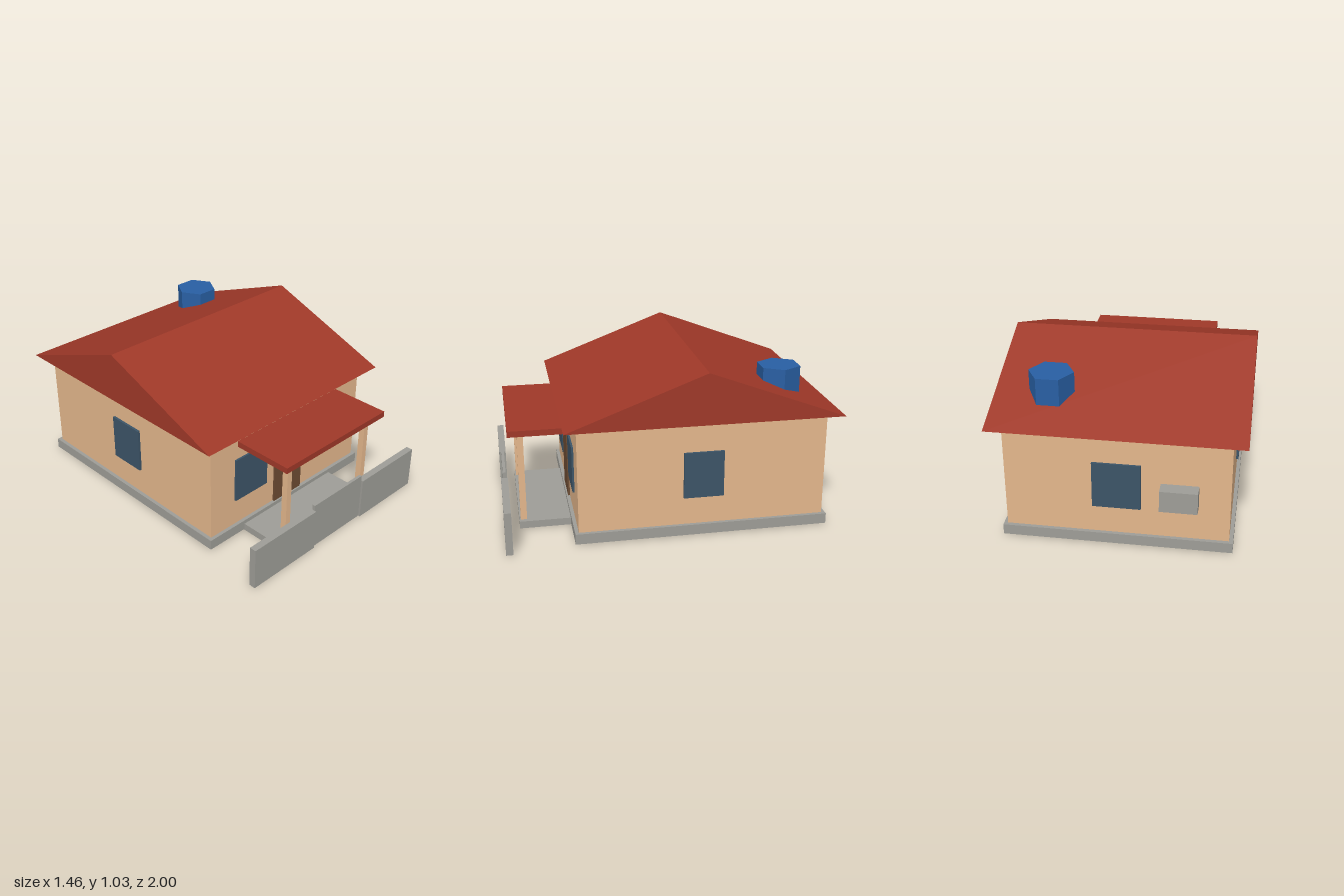
import * as THREE from 'three';

const paint = (name, color) => {
  const m = new THREE.MeshStandardMaterial({ color });
  m.name = name;
  return m;
};

export function createModel() {
  const house = new THREE.Group();
  house.name = 'house';

  const wall = paint('tan plaster', 0xe4b78c);
  const tile = paint('red roof tile', 0x9f3828);
  const concrete = paint('grey concrete', 0x9e9d97);
  const glass = paint('dark blue glass', 0x3c5467);
  const wood = paint('brown wood', 0x6c4b32);
  const plastic = paint('blue plastic', 0x285fa3);
  const lining = paint('magenta lining', 0xff00ff);

  const add = (name, geometry, material) => {
    const mesh = new THREE.Mesh(geometry, material);
    mesh.name = name;
    house.add(mesh);
  };
  // Box given by its limits on each axis
  const box = (name, material, [x0, x1], [y0, y1], [z0, z1]) => {
    const g = new THREE.BoxGeometry(x1 - x0, y1 - y0, z1 - z0);
    g.translate((x0 + x1) / 2, (y0 + y1) / 2, (z0 + z1) / 2);
    add(name, g, material);
  };

  // Main body, with an inner core that shows underneath
  box('plinth', concrete, [-0.67, 0.67], [0.006, 0.07], [-0.94, 0.595]);
  box('walls', wall, [-0.647, 0.647], [0.07, 0.72], [-0.917, 0.573]);
  box('innerCore', lining, [-0.645, 0.645], [0, 0.715], [-0.915, 0.571]);

  // Gable roof: a triangle swept along x
  const gable = new THREE.Shape([
    new THREE.Vector2(-0.65, 0.72),
    new THREE.Vector2(1, 0.72),
    new THREE.Vector2(0.175, 1.03),
  ]);
  const roof = new THREE.ExtrudeGeometry(gable, { depth: 1.46, bevelEnabled: false });
  roof.rotateY(Math.PI / 2).translate(-0.73, 0, 0);
  add('roof', roof, tile);

  // Hexagonal water tank set into the rear slope
  const tank = new THREE.CylinderGeometry(0.132, 0.132, 0.2, 6).toNonIndexed();
  tank.computeVertexNormals();
  tank.rotateY(Math.PI / 6).translate(0.405, 0.86, -0.68);
  add('waterTank', tank, plastic);

  // Porch
  box('porchFloor', concrete, [-0.39, 0.39], [0, 0.045], [0.573, 0.905]);
  box('porchRoof', tile, [-0.432, 0.432], [0.611, 0.648], [0.573, 0.953]);

  // Door and windows
  box('door', wood, [-0.12, 0.12], [0.07, 0.577], [0.573, 0.585]);
  const sill = [0.243, 0.528];
  box('backWindow', glass, [-0.14, 0.14], sill, [-0.93, -0.917]);

  // Parts repeated on both sides
  for (const s of [-1, 1]) {
    const side = s < 0 ? 'right' : 'left';
    const span = (a, b) => (s < 0 ? [-b, -a] : [a, b]);
    box(side + 'FrontWindow', glass, span(0.191, 0.455), sill, [0.573, 0.585]);
    box(side + 'SideWindow', glass, span(0.647, 0.662), sill, [-0.293, -0.052]);
    box(side + 'PorchPost', wall, span(0.324, 0.36), [0.045, 0.611], [0.859, 0.897]);
    box(side + 'FrontFence', concrete, span(0.215, 0.718), [0, 0.265], [0.958, 1]);
  }

  // Gate between the fences, and the air conditioner on the back wall
  box('gate', concrete, [-0.215, 0.215], [0, 0.3], [0.97, 0.988]);
  box('airConditioner', concrete, [-0.468, -0.252], [0.288, 0.42], [-1, -0.917]);

  return house;
}
